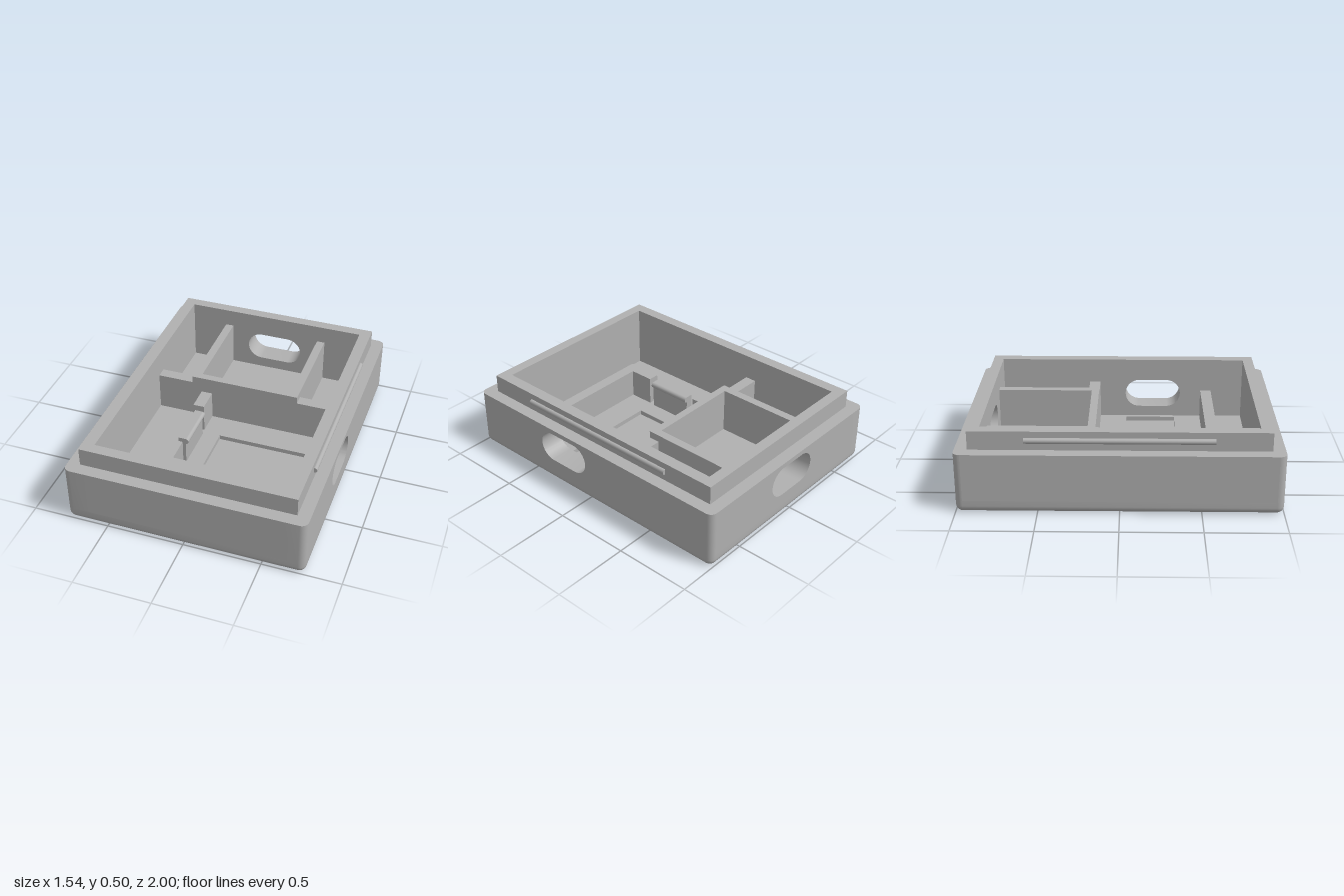
import * as THREE from 'three';
import { toCreasedNormals } from 'three/addons/utils/BufferGeometryUtils.js';

const W = 0.77, D = 1, R = 0.045;      // outer half sizes and edge radius
const IW = 0.615, ID = 0.85;           // cavity half sizes
const FLOOR = 0.08, SHOULDER = 0.385, TOP = 0.505;

function rectPoints(Type, x0, x1, y0, y1) {
  const s = new Type();
  s.moveTo(x0, y0);
  s.lineTo(x1, y0);
  s.lineTo(x1, y1);
  s.lineTo(x0, y1);
  s.closePath();
  return s;
}

// Stadium-shaped opening centred on (cx, cy)
function slotPath(cx, cy, halfLength, r) {
  const p = new THREE.Path();
  const k = halfLength - r;
  p.moveTo(cx - k, cy - r);
  p.lineTo(cx + k, cy - r);
  p.absarc(cx + k, cy, r, -Math.PI / 2, Math.PI / 2, false);
  p.lineTo(cx - k, cy + r);
  p.absarc(cx - k, cy, r, Math.PI / 2, Math.PI * 1.5, false);
  return p;
}

function extrude(shape, depth) {
  const g = new THREE.ExtrudeGeometry(shape, { depth, bevelEnabled: false, curveSegments: 16 });
  return toCreasedNormals(g, 0.6);
}

// Extrudes a plan drawn in (x, z) upwards from y0 to y1
function extrudeUp(shape, y0, y1) {
  return extrude(shape, y1 - y0).rotateX(Math.PI / 2).translate(0, y1, 0);
}

// Bottom skin with rounded corners and rounded lower edges
function baseGeometry() {
  const steps = 8, arc = 8, pos = [0, 0, 0], idx = [];
  const centres = [[1, 1], [-1, 1], [-1, -1], [1, -1]];
  const n = centres.length * (arc + 1);
  const ring = (r, y) => centres.forEach(([sx, sz], q) => {
    for (let i = 0; i <= arc; i++) {
      const b = (q + i / arc) * Math.PI / 2;
      pos.push(sx * (W - R) + r * Math.cos(b), y, sz * (D - R) + r * Math.sin(b));
    }
  });
  for (let i = 0; i <= steps; i++) {
    const a = (i / steps) * Math.PI / 2;
    ring(R * Math.sin(a), R * (1 - Math.cos(a)));
  }
  ring(R, FLOOR);
  for (let j = 0; j < n; j++) {
    const k = (j + 1) % n;
    idx.push(0, 1 + j, 1 + k);
    for (let i = 0; i <= steps; i++) {
      const a = 1 + i * n, b = a + n;
      idx.push(a + j, b + j, a + k, b + j, b + k, a + k);
    }
  }
  const g = new THREE.BufferGeometry();
  g.setAttribute('position', new THREE.Float32BufferAttribute(pos, 3));
  g.setIndex(idx);
  return toCreasedNormals(g, 0.6);
}

export function createModel() {
  const model = new THREE.Group();
  model.name = 'enclosureBase';
  const grey = new THREE.MeshStandardMaterial({ color: 0xb0b0b0 });
  grey.name = 'greyPlastic';

  const add = (name, geometry, parent = model) => {
    const m = new THREE.Mesh(geometry, grey);
    m.name = name;
    parent.add(m);
    return m;
  };
  const block = (name, x0, x1, y0, y1, z0, z1, parent) =>
    add(name, new THREE.BoxGeometry(x1 - x0, y1 - y0, z1 - z0)
      .translate((x0 + x1) / 2, (y0 + y1) / 2, (z0 + z1) / 2), parent);
  const rod = (name, r, length, x, y, z, parent) =>
    add(name, new THREE.CylinderGeometry(r, r, length, 24)
      .rotateX(Math.PI / 2).translate(x, y, z), parent);

  // Base and floor with a shallow rectangular recess
  add('baseShell', baseGeometry());
  const floor = rectPoints(THREE.Shape, -IW, IW, -ID, ID);
  floor.holes.push(rectPoints(THREE.Path, -0.11, 0.585, 0.025, 0.37));
  add('floor', extrudeUp(floor, 0.05, FLOOR));
  block('recessFloor', -0.15, 0.6, 0.03, 0.05, 0, 0.4);

  // Outer walls; the right and back ones have cable openings
  const walls = new THREE.Group();
  walls.name = 'outerWalls';
  model.add(walls);
  const wall = (half, slotX) => {
    const s = rectPoints(THREE.Shape, -half, half, FLOOR, SHOULDER);
    if (slotX !== undefined) s.holes.push(slotPath(slotX, 0.253, 0.195, 0.1));
    return s;
  };
  const sideHalf = D - R;
  add('frontWall', extrude(wall(IW), D - ID).translate(0, 0, ID), walls);
  add('backWall', extrude(wall(IW, 0), D - ID).translate(0, 0, -D), walls);
  add('slottedSideWall', extrude(wall(sideHalf, -0.215), W - IW)
    .rotateY(Math.PI / 2).translate(IW, 0, 0), walls);
  add('plainSideWall', extrude(wall(sideHalf), W - IW)
    .rotateY(Math.PI / 2).translate(-W, 0, 0), walls);

  // Rounded corner fillers between the walls
  for (const sx of [-1, 1]) for (const sz of [-1, 1]) {
    const s = new THREE.Shape();
    s.moveTo(sx * IW, sz * sideHalf);
    s.lineTo(sx * W, sz * sideHalf);
    for (let i = 1; i <= 8; i++) {
      const a = (i / 8) * Math.PI / 2;
      s.lineTo(sx * (W - R + R * Math.cos(a)), sz * (sideHalf + R * Math.sin(a)));
    }
    s.lineTo(sx * IW, sz * D);
    s.closePath();
    add('wallCorner', extrudeUp(s, FLOOR, SHOULDER), walls);
  }

  // Raised lip with a snap ridge on each long side
  const lip = rectPoints(THREE.Shape, -0.69, 0.69, -0.92, 0.92);
  lip.holes.push(rectPoints(THREE.Path, -IW, IW, -ID, ID));
  add('lip', extrudeUp(lip, SHOULDER, TOP));
  for (const s of [-1, 1]) rod('snapRidge', 0.018, 1.155, s * 0.692, 0.447, 0);

  // Rear compartment: U-shaped wall and lower wings to the sides
  const pen = new THREE.Group();
  pen.name = 'rearCompartment';
  model.add(pen);
  block('compartmentFront', -0.37, 0.37, FLOOR, 0.385, -0.21, -0.16, pen);
  for (const s of [-1, 1]) {
    const span = (a, b) => (s > 0 ? [a, b] : [-b, -a]);
    block('compartmentSide', ...span(0.315, 0.37), FLOOR, 0.385, -ID, -0.21, pen);
    block('wingWall', ...span(0.37, IW), FLOOR, 0.338, -0.235, -0.16, pen);
  }

  // Board holder: post, L-shaped rail and a clip with a rounded bead
  const holder = new THREE.Group();
  holder.name = 'boardHolder';
  model.add(holder);
  block('post', -0.305, -0.23, FLOOR, 0.275, -0.16, 0.0, holder);
  block('railEnd', -0.305, -0.23, FLOOR, 0.275, 0.39, 0.63, holder);
  block('rail', -0.23, IW, FLOOR, 0.275, 0.555, 0.63, holder);
  block('clipArm', -0.275, -0.225, FLOOR, 0.27, 0.045, 0.352, holder);
  rod('clipBead', 0.02, 0.307, -0.225, 0.25, 0.1985, holder);

  return model;
}
